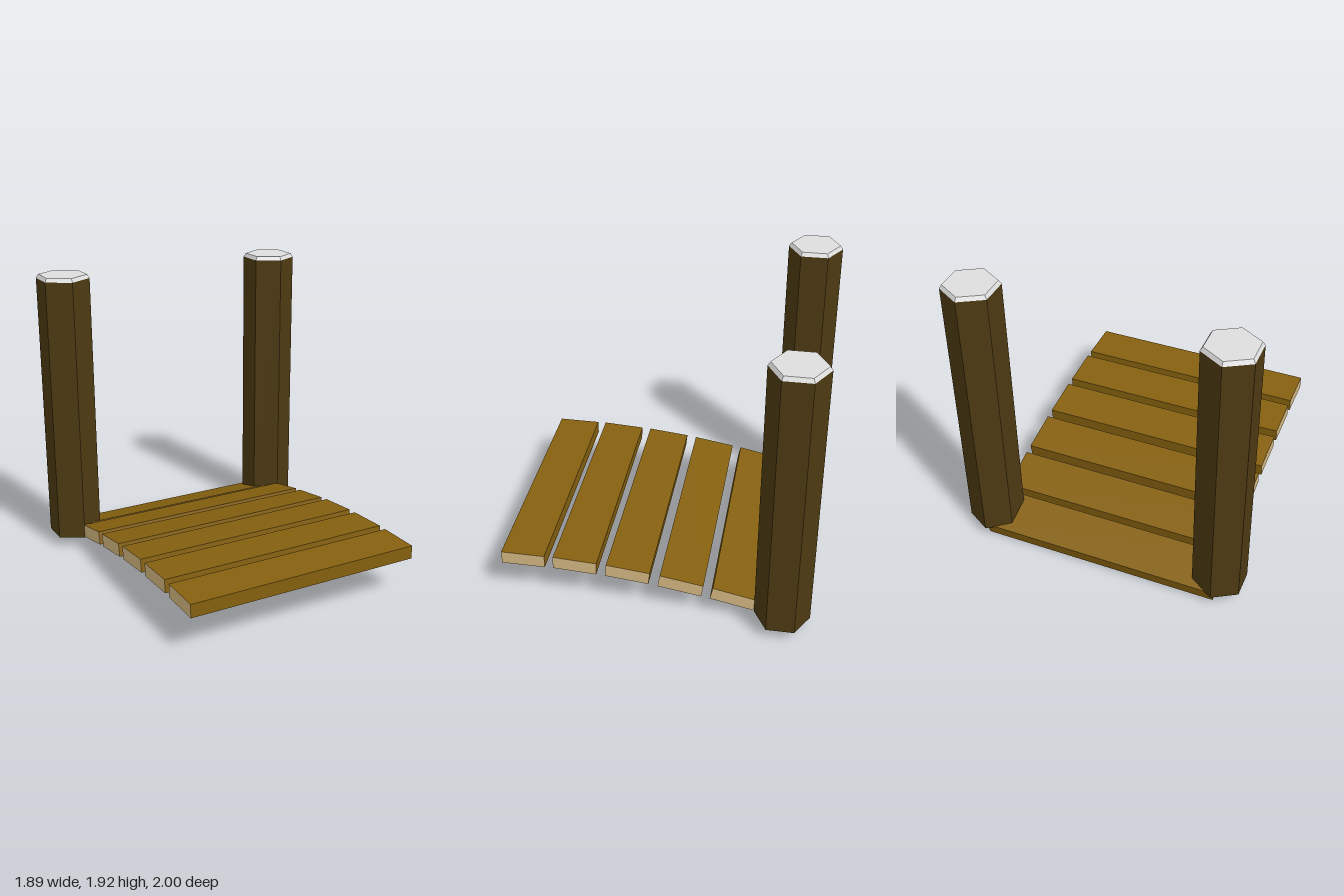
import * as THREE from 'three';

const mat = (name, color, flat = true) => {
  const m = new THREE.MeshStandardMaterial({ color, flatShading: flat });
  m.name = name;
  return m;
};

export function createModel() {
  const plankWood = mat('plankWood', 0x85600f);
  const postBark = mat('postBark', 0x4d3a12);
  const cutWood = mat('cutWood', 0xd5b882);
  const capWhite = mat('capWhite', 0xdedede);

  const dock = new THREE.Group();
  dock.name = 'bridgeEnd';

  const add = (parent, name, geometry, material, x, y, z) => {
    const mesh = new THREE.Mesh(geometry, material);
    mesh.name = name;
    mesh.position.set(x, y, z);
    parent.add(mesh);
    return mesh;
  };

  // Planks curving down towards the back, with pale cut ends: [z, y, tilt in degrees]
  const plankGeometry = new THREE.BoxGeometry(1.58, 0.089, 0.285);
  const plankMaterials = [cutWood, cutWood, plankWood, plankWood, plankWood, plankWood];
  [
    [0.857, 0.305, 0],
    [0.517, 0.299, 3],
    [0.174, 0.274, 6],
    [-0.17, 0.227, 9.3],
    [-0.508, 0.165, 12],
    [-0.822, 0.086, 15],
  ].forEach(([z, y, tilt], i) => {
    const plank = add(dock, `plank${i + 1}`, plankGeometry, plankMaterials, 0, y, z);
    plank.rotation.x = -THREE.MathUtils.degToRad(tilt);
  });

  // Six-sided posts with bevelled caps, one on each side
  const postGeometry = new THREE.CylinderGeometry(0.178, 0.178, 1.815, 6);
  const capGeometry = new THREE.CylinderGeometry(0.162, 0.178, 0.025, 6);
  for (const [side, name] of [[1, 'left'], [-1, 'right']]) {
    const post = new THREE.Group();
    post.name = `${name}Post`;
    post.position.set(side * 0.79, 0, -0.822);
    add(post, `${name}PostShaft`, postGeometry, [postBark, capWhite, cutWood], 0, 0.9925, 0);
    add(post, `${name}PostCap`, capGeometry, capWhite, 0, 1.9125, 0);
    dock.add(post);
  }
  return dock;
}
